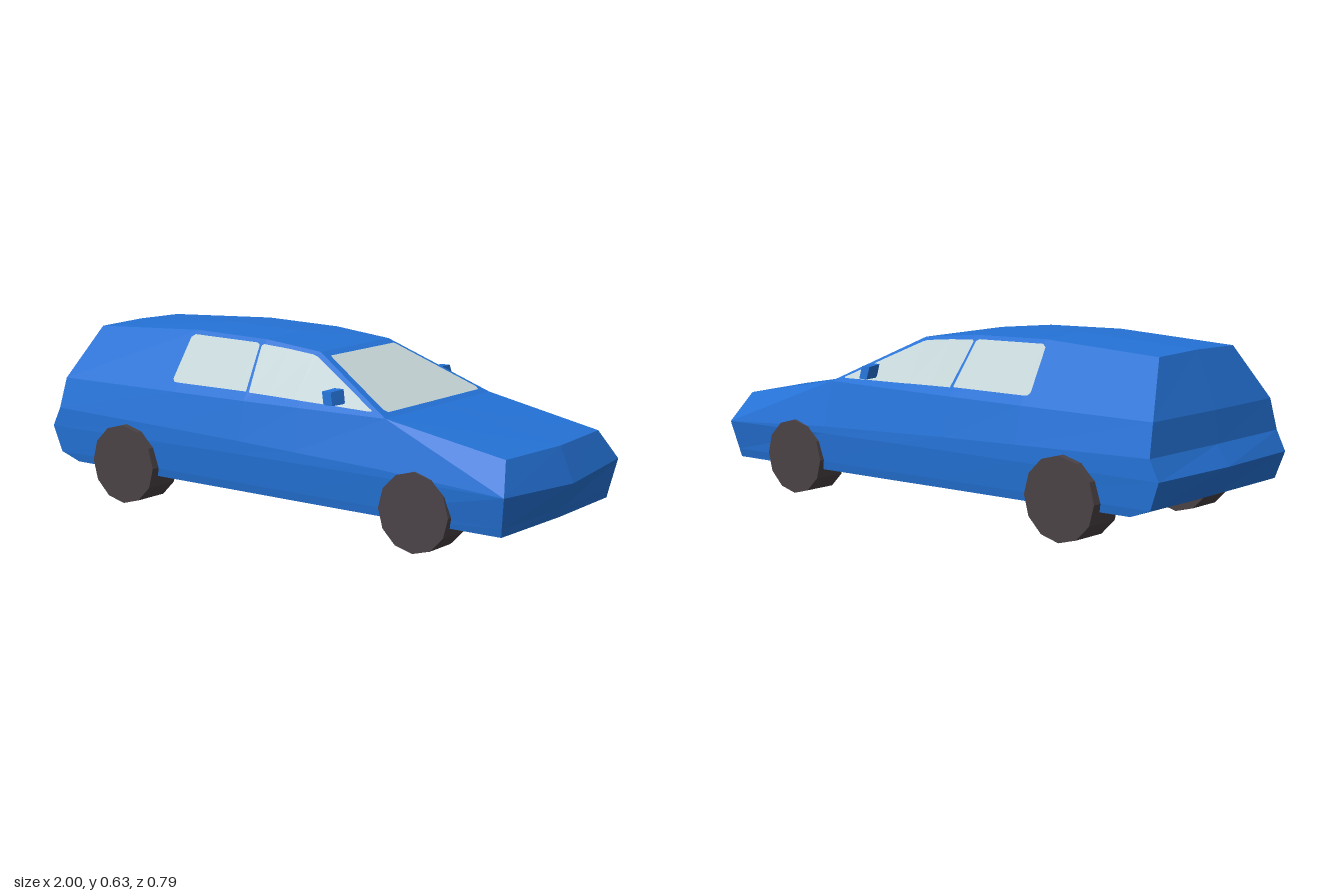
import * as THREE from 'three';

const mat = (name, color) => {
  const m = new THREE.MeshStandardMaterial({ color });
  m.name = name;
  return m;
};

// Collects flat faces; every face can be mirrored to the other side of the car
class Faces {
  constructor() { this.data = []; }
  tri(a, b, c) {
    const same = (p, q) => p.every((v, i) => Math.abs(v - q[i]) < 1e-6);
    if (same(a, b) || same(b, c) || same(a, c)) return;
    this.data.push(...a, ...b, ...c);
  }
  quad(a, b, c, d) { this.tri(a, b, c); this.tri(a, c, d); }
  mirroredQuad(a, b, c, d) {
    const m = ([x, y, z]) => [x, y, -z];
    this.quad(a, b, c, d);
    this.quad(m(b), m(a), m(d), m(c));
  }
  mesh(name, material) {
    const g = new THREE.BufferGeometry();
    g.setAttribute('position', new THREE.Float32BufferAttribute(this.data, 3));
    g.computeVertexNormals();
    const mesh = new THREE.Mesh(g, material);
    mesh.name = name;
    return mesh;
  }
}

// Half sections from rear to front: floor edge, sill, bumper line, crease, belt, roof edge
const sections = [
  [[-0.87, 0.115, 0.355], [-0.95, 0.145, 0.36], [-0.985, 0.24, 0.366], [-0.95, 0.31, 0.366], [-0.94, 0.42, 0.337], [-0.87, 0.605, 0.21]],
  [[-0.41, 0.11, 0.358], [-0.41, 0.14, 0.364], [-0.41, 0.24, 0.373], [-0.41, 0.295, 0.371], [-0.41, 0.42, 0.34], [-0.41, 0.627, 0.208]],
  [[-0.1, 0.107, 0.358], [-0.1, 0.137, 0.364], [-0.1, 0.24, 0.373], [-0.1, 0.285, 0.371], [-0.1, 0.42, 0.34], [-0.1, 0.619, 0.207]],
  [[0.13, 0.104, 0.357], [0.13, 0.134, 0.363], [0.13, 0.238, 0.372], [0.13, 0.275, 0.37], [0.13, 0.42, 0.335], [0.13, 0.595, 0.205]],
  [[0.48, 0.1, 0.355], [0.48, 0.13, 0.36], [0.48, 0.235, 0.37], [0.48, 0.26, 0.369], [0.48, 0.42, 0.325], [0.48, 0.42, 0.325]],
  [[0.94, 0.095, 0.35], [0.945, 0.125, 0.357], [0.965, 0.23, 0.38], [0.965, 0.23, 0.38], [0.965, 0.23, 0.38], [0.925, 0.335, 0.305]],
];
// Bowed centre lines of the tail and the nose, in the same order
const tailCentre = [[-0.875, 0.115, 0], [-0.955, 0.145, 0], [-1, 0.24, 0], [-0.955, 0.31, 0], [-0.945, 0.42, 0], [-0.87, 0.61, 0]];
const noseCentre = [[0.95, 0.095, 0], [0.958, 0.125, 0], [1, 0.215, 0], [1, 0.215, 0], [1, 0.215, 0], [0.95, 0.335, 0]];
const roofRise = [0.005, 0.006, 0.006, 0, 0, 0];

function buildBody(paint) {
  const f = new Faces();
  const last = sections.length - 1;
  const rings = sections.map((s, i) => {
    const floor = i === 0 ? tailCentre[0] : i === last ? noseCentre[0] : [s[0][0], s[0][1], 0];
    const top = i === last ? noseCentre[5] : [s[5][0], s[5][1] + roofRise[i], 0];
    return [floor, ...s, top];
  });
  for (let i = 0; i < last; i++)
    for (let j = 0; j < 7; j++)
      f.mirroredQuad(rings[i][j], rings[i + 1][j], rings[i + 1][j + 1], rings[i][j + 1]);
  for (let j = 0; j < 5; j++) {
    const t = sections[0], n = sections[last];
    f.mirroredQuad(n[j], noseCentre[j], noseCentre[j + 1], n[j + 1]);
    f.mirroredQuad(tailCentre[j], t[j], t[j + 1], tailCentre[j + 1]);
  }
  return f.mesh('body', paint);
}

// Point just outside the sloping side between belt and roof edge
function onSide(x, y) {
  let i = 1;
  while (i < 3 && x > sections[i + 1][4][0]) i++;
  const lerp = THREE.MathUtils.lerp;
  const at = (k) => {
    const a = sections[i][k], b = sections[i + 1][k], t = (x - a[0]) / (b[0] - a[0]);
    return [lerp(a[1], b[1], t), lerp(a[2], b[2], t)];
  };
  const [by, bz] = at(4), [ry, rz] = at(5);
  return [x, y, lerp(bz, rz, (y - by) / (ry - by)) + 0.005];
}

// Side glass: stations of [x, bottom y, top y]
function sideWindow(name, stations, glass) {
  const f = new Faces();
  for (let i = 0; i + 1 < stations.length; i++) {
    const [x0, b0, t0] = stations[i], [x1, b1, t1] = stations[i + 1];
    f.mirroredQuad(onSide(x0, b0), onSide(x1, b1), onSide(x1, t1), onSide(x0, t0));
  }
  return f.mesh(name, glass);
}

function buildWindscreen(glass) {
  const f = new Faces();
  // Height y on the windscreen slope, lifted slightly along its normal
  const p = (y, z) => [0.13 + (0.595 - y) * 2 + 0.0018, y + 0.0036, z];
  f.mirroredQuad(p(0.43, 0.28), p(0.43, 0), p(0.58, 0), p(0.58, 0.19));
  f.mirroredQuad(p(0.438, 0.288), p(0.43, 0.28), p(0.58, 0.19), p(0.574, 0.196));
  return f.mesh('windscreen', glass);
}

function buildWheel(name, x, r, inner, outer, side, rubber) {
  const g = new THREE.CylinderGeometry(r, r, outer - inner, 12).toNonIndexed();
  g.rotateX(Math.PI / 2);
  g.computeVertexNormals();
  const wheel = new THREE.Mesh(g, rubber);
  wheel.name = name;
  wheel.position.set(x, r, side * (inner + outer) / 2);
  return wheel;
}

function buildMirror(side, paint) {
  const g = new THREE.BoxGeometry(0.036, 0.048, 0.06).toNonIndexed();
  const p = g.attributes.position;
  // Lean the housing back and taper its outer end
  for (let i = 0; i < p.count; i++) {
    const y = p.getY(i), z = p.getZ(i) * side;
    p.setX(i, p.getX(i) - y * 0.2 - z * 0.15);
    if (z > 0 && y > 0) p.setY(i, y - 0.004);
    p.setZ(i, p.getZ(i) - side * y * 0.1);
  }
  g.computeVertexNormals();
  const mirror = new THREE.Mesh(g, paint);
  mirror.name = side > 0 ? 'rightDoorMirror' : 'leftDoorMirror';
  mirror.position.set(0.28, 0.473, side * 0.337);
  return mirror;
}

export function createModel() {
  const paint = mat('blue paint', 0x2472d6);
  const glass = mat('pale glass', 0xc4d4d6);
  const rubber = mat('dark rubber', 0x4a4246);

  const car = new THREE.Group();
  car.name = 'car';
  car.add(buildBody(paint), buildWindscreen(glass));
  car.add(sideWindow('rearSideWindows', [
    [-0.435, 0.462, 0.47], [-0.425, 0.453, 0.603], [-0.41, 0.452, 0.613],
    [-0.13, 0.451, 0.607], [-0.118, 0.451, 0.6], [-0.102, 0.451, 0.456],
  ], glass));
  car.add(sideWindow('frontSideWindows', [
    [-0.108, 0.592, 0.6], [-0.1, 0.53, 0.604], [-0.088, 0.449, 0.603], [0, 0.447, 0.597],
    [0.11, 0.444, 0.586], [0.13, 0.443, 0.58], [0.26, 0.44, 0.518], [0.4, 0.436, 0.449], [0.42, 0.436, 0.44],
  ], glass));

  // Wheels and door mirrors on both sides
  for (const side of [1, -1]) {
    const label = side > 0 ? 'right' : 'left';
    car.add(buildWheel(label + 'RearWheel', -0.615, 0.143, 0.26, 0.395, side, rubber));
    car.add(buildWheel(label + 'FrontWheel', 0.625, 0.135, 0.255, 0.379, side, rubber));
    car.add(buildMirror(side, paint));
  }
  return car;
}
